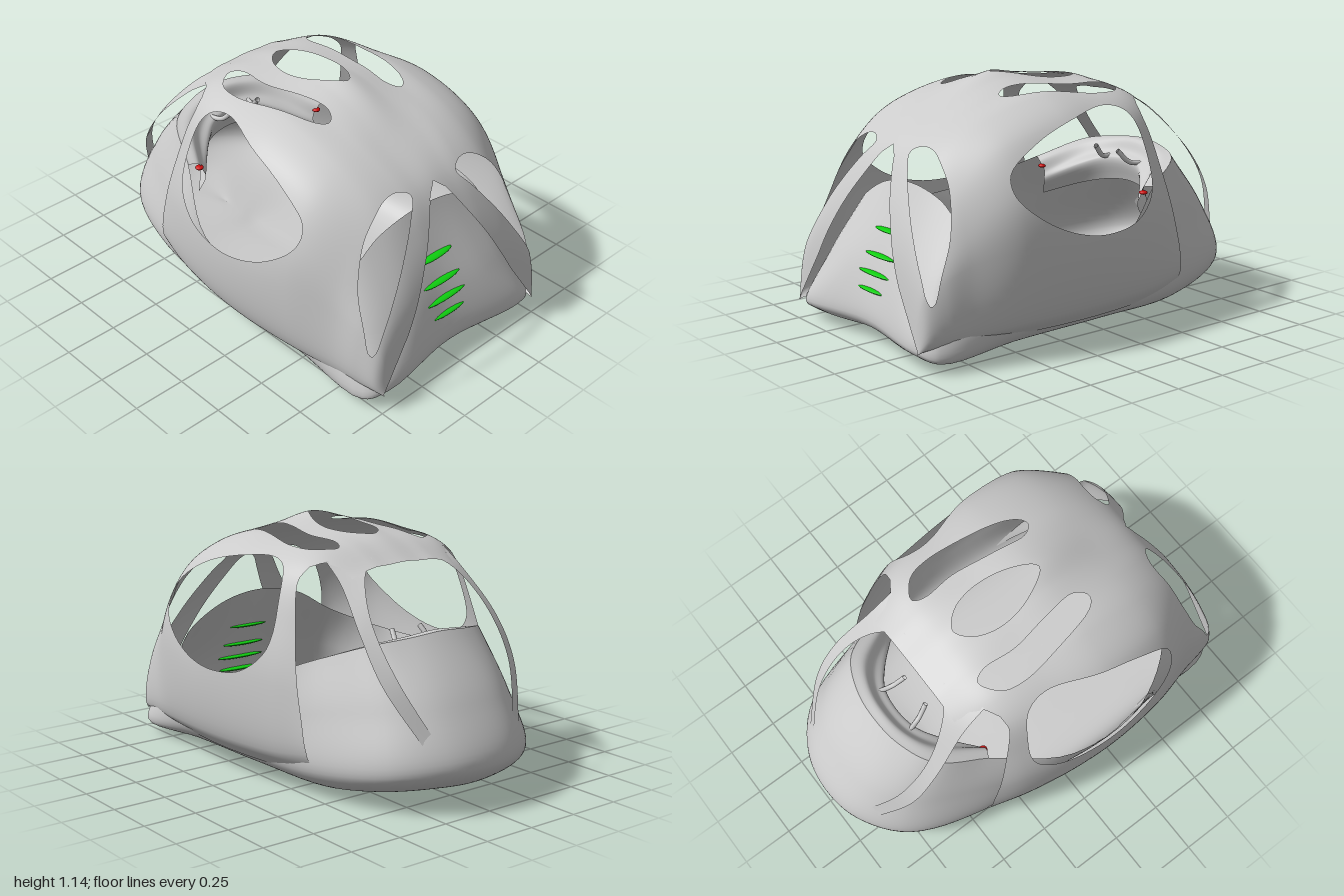
import * as THREE from 'three';
import { mergeVertices } from 'three/addons/utils/BufferGeometryUtils.js';

const V = (x, y, z) => new THREE.Vector3(x, y, z);
const grey = new THREE.MeshStandardMaterial({ color: 0xcccccc, side: THREE.DoubleSide });
const green = new THREE.MeshStandardMaterial({ color: 0x0fd010 });
const red = new THREE.MeshStandardMaterial({ color: 0xd01010 });

// Mirrors a half row (z >= 0) into a full row
const mirrorPts = pts => pts.map(p => V(p.x, p.y, -p.z)).reverse();
const openRow = half => [...mirrorPts(half), ...half.slice(1)];
const closedRow = half => [...half, ...mirrorPts(half).slice(1, -1)];

// Smooth loft through rows of points; the part where field(p) < 0 is cut away
function loft(rows, closed, nu, nv, field = () => 1) {
  const lines = rows.map(r => {
    const c = new THREE.CatmullRomCurve3(r, closed);
    return Array.from({ length: nu + 1 }, (_, i) => c.getPoint(i / nu));
  });
  const grid = lines[0].map((_, i) => {
    const c = new THREE.CatmullRomCurve3(lines.map(l => l[i]));
    return Array.from({ length: nv + 1 }, (_, j) => {
      const p = c.getPoint(j / nv);
      return { p, f: field(p) };
    });
  });
  const out = [];
  const triangle = corners => {
    const poly = [];
    corners.forEach((a, k) => {
      const b = corners[(k + 1) % 3];
      if (a.f >= 0) poly.push(a.p);
      if (a.f >= 0 !== b.f >= 0) poly.push(a.p.clone().lerp(b.p, a.f / (a.f - b.f)));
    });
    for (let k = 1; k + 1 < poly.length; k++) {
      for (const q of [poly[0], poly[k], poly[k + 1]]) out.push(q.x, q.y, q.z);
    }
  };
  for (let i = 0; i < nu; i++) for (let j = 0; j < nv; j++) {
    const a = grid[i][j], b = grid[i + 1][j], c = grid[i + 1][j + 1], d = grid[i][j + 1];
    triangle([a, b, c]);
    triangle([a, c, d]);
  }
  const g = new THREE.BufferGeometry();
  g.setAttribute('position', new THREE.Float32BufferAttribute(out, 3));
  const m = mergeVertices(g, 1e-5);
  m.computeVertexNormals();
  return m;
}

// Signed distance to a 2D outline, positive outside
function outline(pts, smooth = true) {
  let poly = pts.map(p => V(p[0], p[1], 0));
  if (smooth) poly = new THREE.CatmullRomCurve3(poly, true).getPoints(pts.length * 5).slice(0, -1);
  return (x, y) => {
    let d = Infinity, inside = false;
    poly.forEach((a, i) => {
      const b = poly[(i + 1) % poly.length];
      const ex = b.x - a.x, ey = b.y - a.y;
      const t = THREE.MathUtils.clamp(((x - a.x) * ex + (y - a.y) * ey) / (ex * ex + ey * ey + 1e-12), 0, 1);
      d = Math.min(d, Math.hypot(x - a.x - t * ex, y - a.y - t * ey));
      if (a.y > y !== b.y > y && x < a.x + (y - a.y) * ex / ey) inside = !inside;
    });
    return inside ? -d : d;
  };
}

// Openings of the canopy, each drawn in the plane it is cut through
const sideWindow = outline([[-0.2, 0.64], [-0.2, 0.85], [-0.16, 0.97], [-0.07, 1.01], [0.2, 0.985], [0.42, 0.91],
  [0.57, 0.8], [0.57, 0.71], [0.45, 0.6], [0.28, 0.525], [0.1, 0.5], [-0.08, 0.53]]);
const roofOval = outline([[-0.21, 0], [-0.15, 0.075], [-0.03, 0.11], [0.13, 0.085], [0.26, 0],
  [0.13, -0.085], [-0.03, -0.11], [-0.15, -0.075]]);
const roofSlit = outline([[-0.26, 0.24], [-0.2, 0.33], [-0.1, 0.355], [0.08, 0.335], [0.33, 0.27], [0.37, 0.22],
  [0.32, 0.175], [0.15, 0.19], [-0.05, 0.22], [-0.21, 0.21]]);
const frontCut = outline([[-0.9, 0.1], [-0.45, 0.1], [-0.43, 0.22], [-0.41, 0.34], [-0.345, 0.6], [-0.285, 0.83],
  [-0.255, 0.94], [-0.265, 0.99], [-0.3, 1.01], [-0.36, 0.99], [-0.5, 0.9], [-0.9, 0.6]], false);
const rearHole = outline([[0.14, 0.86], [0.19, 0.885], [0.28, 0.87], [0.4, 0.77], [0.48, 0.6], [0.515, 0.42],
  [0.52, 0.29], [0.47, 0.38], [0.4, 0.49], [0.3, 0.64], [0.19, 0.79]]);
const rearArch = outline([[-0.2, 0.87], [0, 0.87], [0.05, 0.83], [0.2, 0.58], [0.33, 0.34], [0.49, 0.1],
  [0.49, -0.1], [-0.2, -0.1]], false);

function canopyField(p) {
  const z = Math.abs(p.z);
  let f = 1;
  if (z > 0.3) f = Math.min(f, sideWindow(p.x, p.y));
  if (p.y > 0.9) f = Math.min(f, roofOval(p.x, z), roofSlit(p.x, z));
  if (p.x < -0.2) f = Math.min(f, frontCut(p.x, p.y));
  if (p.x > 0.6) f = Math.min(f, rearHole(z, p.y), rearArch(z, p.y));
  return f;
}

// Canopy section from [y, z] points: adds a ridge point and the folded lower edge
function canopyRow([x, ...pts]) {
  const half = pts.map(([y, z]) => V(x, y, z));
  const crease = half[half.length - 1];
  half.splice(1, 0, half[0].clone().lerp(half[1], 0.48));
  half.push(V(x, 0.06 + 0.22 * crease.y, 0.89 * crease.z));
  return openRow(half);
}

export function createModel() {
  const root = new THREE.Group();
  const add = (name, geometry, material = grey) => {
    const m = new THREE.Mesh(geometry, material);
    m.name = name;
    root.add(m);
    return m;
  };

  // Canopy: sections x, then [y, z] from the roof centre to the lower crease
  const sections = [
    [-0.43, [0.995, 0], [0.985, 0.18], [0.94, 0.31], [0.85, 0.39], [0.68, 0.46], [0.45, 0.53], [0.21, 0.545]],
    [-0.25, [1.08, 0], [1.065, 0.19], [1.035, 0.34], [0.95, 0.45], [0.74, 0.54], [0.5, 0.6], [0.19, 0.59]],
    [0, [1.125, 0], [1.085, 0.2], [1.06, 0.35], [0.965, 0.5], [0.75, 0.61], [0.5, 0.66], [0.185, 0.63]],
    [0.25, [1.143, 0], [1.09, 0.21], [1.068, 0.35], [0.97, 0.525], [0.75, 0.63], [0.5, 0.68], [0.18, 0.64]],
    [0.55, [1.015, 0], [1.01, 0.21], [0.985, 0.35], [0.9, 0.5], [0.72, 0.61], [0.5, 0.645], [0.165, 0.61]],
    [0.77, [0.88, 0], [0.87, 0.18], [0.83, 0.33], [0.73, 0.44], [0.59, 0.52], [0.44, 0.56], [0.14, 0.56]],
    [0.88, [0.705, 0], [0.705, 0.18], [0.67, 0.31], [0.605, 0.395], [0.505, 0.475], [0.385, 0.53], [0.13, 0.54]],
    [0.96, [0.48, 0], [0.48, 0.18], [0.475, 0.3], [0.44, 0.38], [0.39, 0.445], [0.32, 0.495], [0.12, 0.52]],
    [1, [0.1, 0], [0.1, 0.17], [0.1, 0.3], [0.1, 0.38], [0.1, 0.43], [0.1, 0.46], [0.09, 0.49]],
  ];
  add('canopy', loft(sections.map(canopyRow), false, 144, 112, canopyField));

  // Tub: closed rings from the keel up to the rim, half rings run nose to tail
  const ring = pts => closedRow(pts.map(p => V(...p)));
  const rimHalf = [[-0.67, 0.725, 0], [-0.65, 0.712, 0.16], [-0.57, 0.685, 0.32], [-0.35, 0.6, 0.435], [0, 0.46, 0.625],
    [0.4, 0.44, 0.63], [0.68, 0.53, 0.44], [0.695, 0.65, 0.23], [0.7, 0.69, 0]];
  const tubRows = [
    [[-0.6, 0.04, 0], [-0.58, 0.04, 0], [-0.5, 0.025, 0], [-0.4, 0, 0], [0, 0.02, 0],
      [0.4, 0.03, 0], [0.8, 0.04, 0], [0.85, 0.05, 0], [0.88, 0.06, 0]],
    [[-0.9, 0.1, 0], [-0.86, 0.1, 0.18], [-0.71, 0.075, 0.33], [-0.42, 0.04, 0.43], [0, 0.04, 0.45],
      [0.5, 0.035, 0.46], [0.9, 0.035, 0.51], [0.95, 0.055, 0.37], [0.92, 0.07, 0]],
    [[-1, 0.2, 0], [-0.96, 0.195, 0.2], [-0.8, 0.17, 0.4], [-0.45, 0.13, 0.52], [0, 0.1, 0.55],
      [0.5, 0.09, 0.55], [0.92, 0.06, 0.54], [0.98, 0.09, 0.44], [0.94, 0.11, 0]],
    [[-0.885, 0.45, 0], [-0.85, 0.445, 0.2], [-0.72, 0.43, 0.36], [-0.42, 0.38, 0.49], [0, 0.26, 0.6],
      [0.45, 0.25, 0.6], [0.83, 0.31, 0.47], [0.895, 0.33, 0.28], [0.88, 0.32, 0]],
    rimHalf,
  ].map(ring);
  add('tub', loft(tubRows, true, 96, 40));

  // Rolled dashboard collar inside the front rim
  const collarRows = [
    rimHalf.slice(0, 4),
    [[-0.62, 0.72, 0], [-0.6, 0.705, 0.14], [-0.53, 0.675, 0.27], [-0.33, 0.59, 0.39]],
    [[-0.59, 0.66, 0], [-0.57, 0.65, 0.13], [-0.5, 0.62, 0.24], [-0.34, 0.54, 0.36]],
    [[-0.55, 0.63, 0], [-0.53, 0.62, 0.12], [-0.46, 0.58, 0.22], [-0.33, 0.5, 0.35]],
    [[-0.58, 0.52, 0], [-0.56, 0.51, 0.12], [-0.49, 0.48, 0.24], [-0.35, 0.42, 0.38]],
  ].map(r => openRow(r.map(p => V(...p))));
  add('dashboardCollar', loft(collarRows, false, 48, 24));

  // Paired parts: front arms, dashboard prongs and side lamps
  const armInner = [[-0.37, 1.02, 0.14], [-0.46, 0.95, 0.25], [-0.6, 0.79, 0.325], [-0.76, 0.58, 0.32], [-0.92, 0.29, 0.21]];
  const armOuter = [[-0.3, 1.015, 0.34], [-0.42, 0.93, 0.35], [-0.61, 0.735, 0.39], [-0.74, 0.55, 0.38], [-0.9, 0.28, 0.265]];
  for (const s of [1, -1]) {
    const side = s > 0 ? 'left' : 'right';
    const rows = [armInner, armOuter].map(r => r.map(([x, y, z]) => V(x, y, s * z)));
    add(side + 'FrontArm', loft(rows, false, 40, 4));

    const prongPath = new THREE.CatmullRomCurve3([V(-0.57, 0.63, s * 0.12), V(-0.5, 0.64, s * 0.1), V(-0.44, 0.7, s * 0.08)]);
    add(side + 'Prong', new THREE.TubeGeometry(prongPath, 12, 0.012, 8));

    const lamp = add(side + 'Lamp', new THREE.SphereGeometry(1, 16, 10), red);
    lamp.scale.set(0.02, 0.01, 0.02);
    lamp.position.set(-0.34, 0.562, s * 0.378);
  }

  // Rear vents: thin green slots set into the rear wall
  for (const [x, y, w] of [[0.81, 0.485, 0.11], [0.857, 0.38, 0.12], [0.886, 0.305, 0.135], [0.906, 0.235, 0.115]]) {
    const slot = add('ventSlot', new THREE.SphereGeometry(1, 24, 12), green);
    slot.scale.set(0.025, 0.009, w);
    slot.position.set(x, y, 0);
  }
  return root;
}
